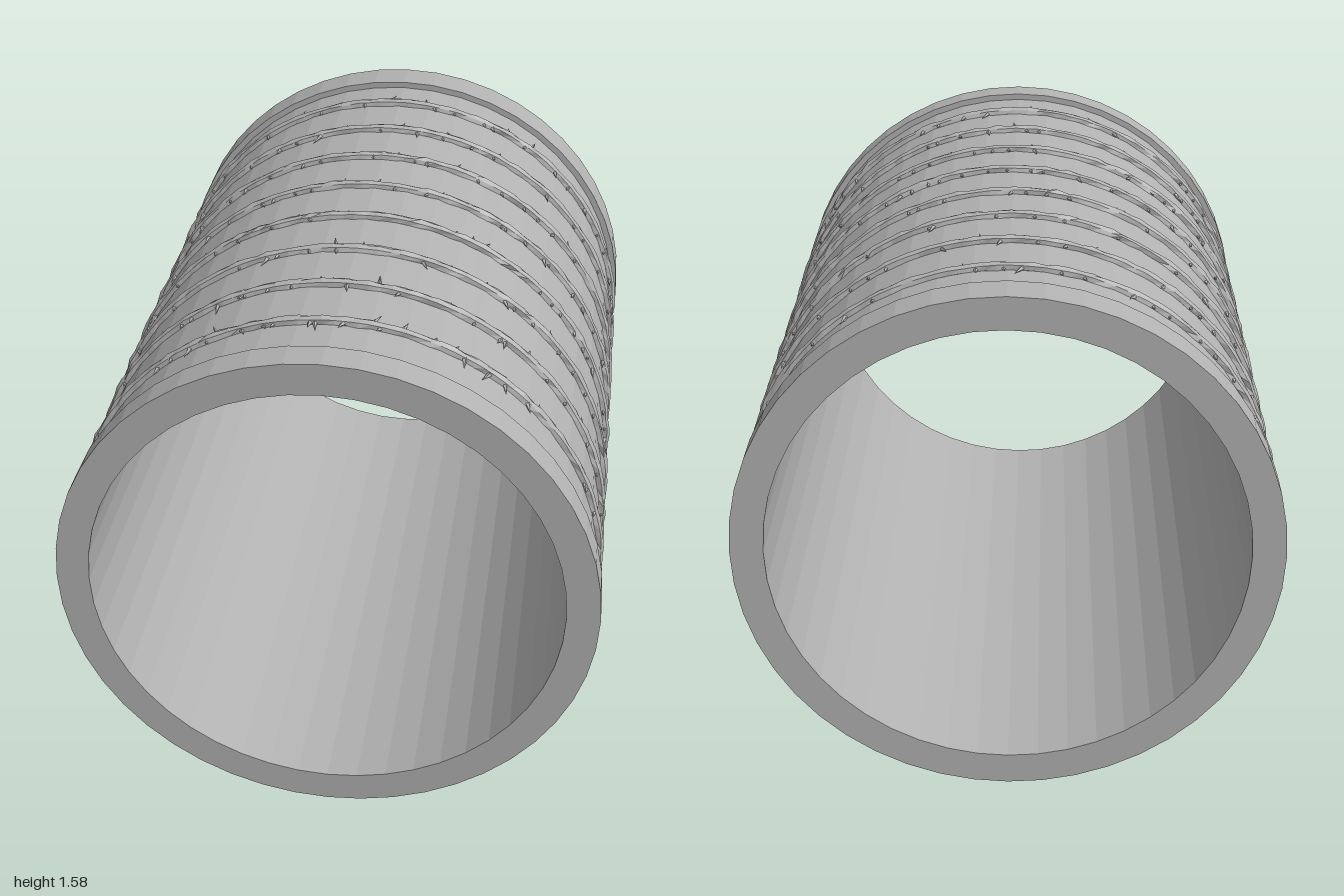
import * as THREE from 'three';
import { mergeGeometries } from 'three/addons/utils/BufferGeometryUtils.js';

const CENTER_Y = 0.797;
const BODY_R = 0.77;
const COLLAR_R = 0.79;
const BORE_R = 0.693;
const SIDES = 48;

// Small repeatable random generator
function seeded(seed) {
  let s = seed;
  return () => (s = (s * 16807) % 2147483647) / 2147483647;
}

// Revolve a [radius, z] profile around the z axis
function revolve(profile) {
  const points = profile.map(([r, z]) => new THREE.Vector2(r, z));
  return new THREE.LatheGeometry(points, SIDES).rotateX(Math.PI / 2);
}

// Rough weld bead: a torus with uneven thickness
function beadGeometry(rand) {
  const around = 144, section = 7, major = 0.772;
  const geo = new THREE.TorusGeometry(major, 0.017, section, around);
  const noise = Array.from({ length: around * section }, () => 0.75 + 0.4 * rand());
  const pos = geo.attributes.position;
  for (let j = 0; j <= section; j++) {
    for (let i = 0; i <= around; i++) {
      const k = j * (around + 1) + i;
      const a = (i / around) * Math.PI * 2;
      const b = (j / section) * Math.PI * 2;
      const r = 0.017 * noise[(j % section) * around + (i % around)];
      const ring = major + r * Math.cos(b);
      pos.setXYZ(k, ring * Math.cos(a), ring * Math.sin(a), r * Math.sin(b));
    }
  }
  return geo;
}

// Thin burrs lying on the wall to either side of a bead
function burrGeometry(rand) {
  const burrs = [];
  for (let i = 0; i < 80; i++) {
    const length = 0.022 + 0.04 * rand() ** 3;
    const side = rand() < 0.5 ? -1 : 1;
    const burr = new THREE.ConeGeometry(0.008, length, 4);
    burr.translate(0, length / 2, 0);
    burr.rotateX((side * Math.PI) / 2);
    burr.rotateY((rand() - 0.5) * 0.9);
    // Lean the tip slightly off the wall
    burr.rotateX(-side * 0.12 * rand());
    burr.translate(0, 0.774, side * 0.008);
    burr.rotateZ(((i + rand()) / 80) * Math.PI * 2);
    burrs.push(burr);
  }
  return mergeGeometries(burrs);
}

export function createModel() {
  const model = new THREE.Group();
  model.name = 'ribbedPipe';
  const grey = new THREE.MeshStandardMaterial({ color: 0xb2b2b2 });
  grey.name = 'grey';
  grey.flatShading = true;

  const pipe = new THREE.Group();
  pipe.name = 'pipe';
  pipe.position.y = CENTER_Y;
  model.add(pipe);

  const add = (name, geometry, z = 0) => {
    const mesh = new THREE.Mesh(geometry, grey);
    mesh.name = name;
    mesh.position.z = z;
    pipe.add(mesh);
  };

  // Outer wall between the collars
  add('wall', revolve([[BODY_R, -0.885], [BODY_R, 0.905]]));

  // Smooth bore through the whole length
  add('bore', revolve([[BORE_R, 1], [BORE_R, -1]]));

  // Raised collars with flat end faces
  add('backCollar', revolve([
    [BORE_R, -1], [COLLAR_R, -1], [COLLAR_R, -0.885], [BODY_R, -0.885],
  ]));
  add('frontCollar', revolve([
    [BODY_R, 0.905], [COLLAR_R, 0.905], [COLLAR_R, 1], [BORE_R, 1],
  ]));

  // Eight evenly spaced beads with their burrs
  const rand = seeded(4711);
  for (let i = 0; i < 8; i++) {
    const z = (i - 3.5) * 0.212;
    add('weldBead' + (i + 1), beadGeometry(rand), z);
    add('burrs' + (i + 1), burrGeometry(rand), z);
  }

  return model;
}
